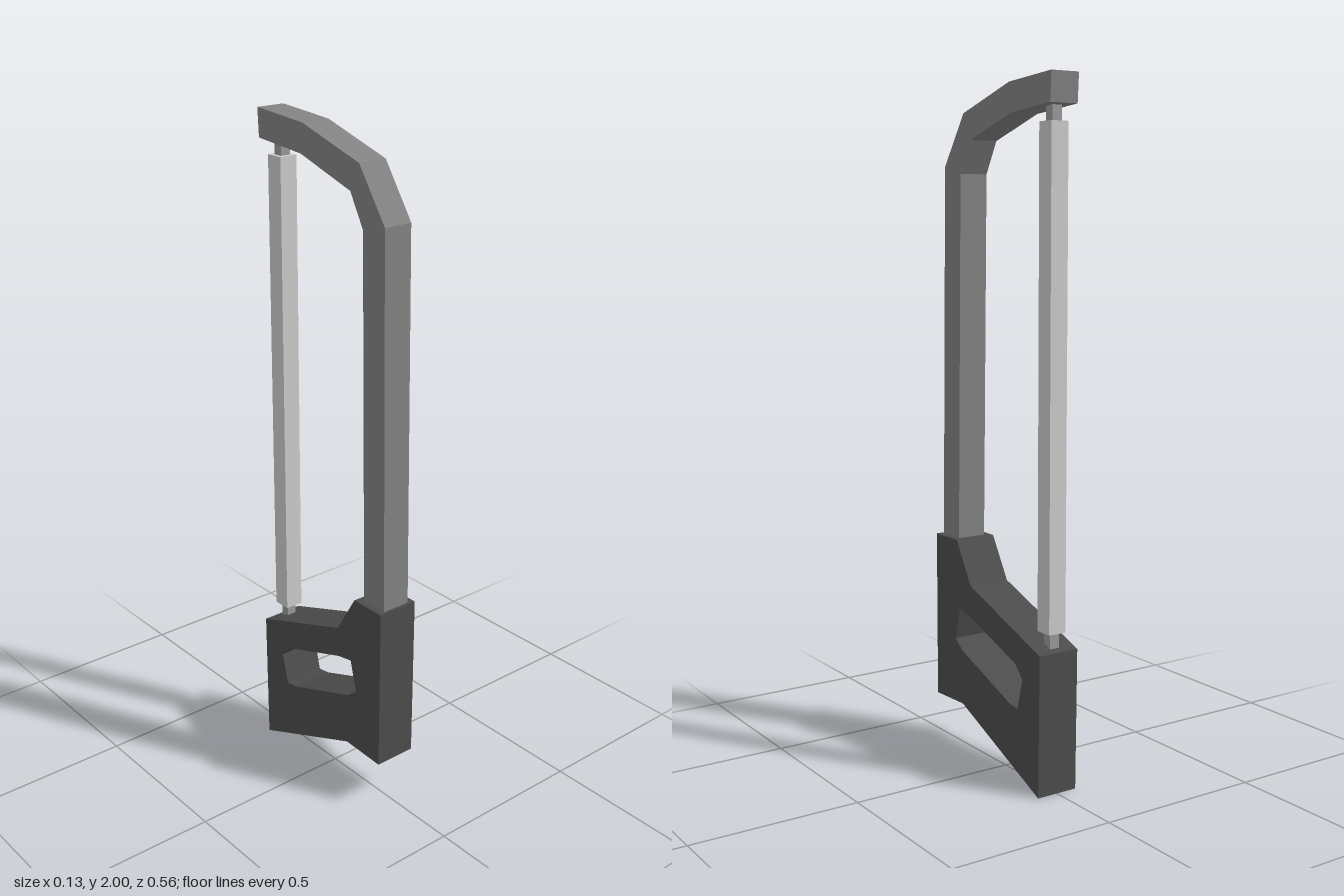
import * as THREE from 'three';

const points = (list) => list.map(([s, y]) => new THREE.Vector2(s, y));

// Extrude a side profile (s = -z, y) across x, centred on x = 0
function slab(name, outline, width, color, hole) {
  const shape = new THREE.Shape(points(outline));
  if (hole) shape.holes.push(new THREE.Path(points(hole)));
  const geo = new THREE.ExtrudeGeometry(shape, { depth: width, bevelEnabled: false });
  geo.translate(0, 0, -width / 2).rotateY(Math.PI / 2);
  return named(name, geo, color);
}

function named(name, geo, color) {
  const mesh = new THREE.Mesh(geo, new THREE.MeshStandardMaterial({ color, flatShading: true }));
  mesh.name = name;
  return mesh;
}

// Upright square bar between two heights on the blade line
function bar(name, size, y0, y1, color) {
  const mesh = named(name, new THREE.BoxGeometry(size, y1 - y0, size), color);
  mesh.position.set(0, (y0 + y1) / 2, -0.23);
  return mesh;
}

export function createModel() {
  const saw = new THREE.Group();
  saw.name = 'hacksaw';

  // Handle with a slanted grip opening
  saw.add(slab('handle', [
    [-0.28, 0.16], [-0.135, 0.165], [0.26, 0], [0.265, 0.415],
    [-0.09, 0.54], [-0.165, 0.665], [-0.28, 0.665],
  ], 0.13, 0x4c4c4c, [
    [-0.15, 0.457], [-0.095, 0.447], [0.145, 0.363], [0.18, 0.325],
    [0.157, 0.232], [0.115, 0.238], [-0.135, 0.33], [-0.175, 0.36],
  ]));

  // Bent frame rising from the handle and arching over the blade
  saw.add(slab('frame', [
    [-0.272, 0.64], [-0.185, 0.64], [-0.167, 1.745], [-0.115, 1.838],
    [0.09, 1.902], [0.275, 1.918], [0.28, 2], [0.083, 1.985],
    [-0.15, 1.915], [-0.252, 1.767],
  ], 0.09, 0x828282));

  // Blade and the pins holding it at both ends
  saw.add(bar('blade', 0.056, 0.467, 1.873, 0xcccccc));
  saw.add(bar('lowerPin', 0.03, 0.4, 0.467, 0x999999));
  saw.add(bar('upperPin', 0.03, 1.873, 1.925, 0x999999));

  return saw;
}
